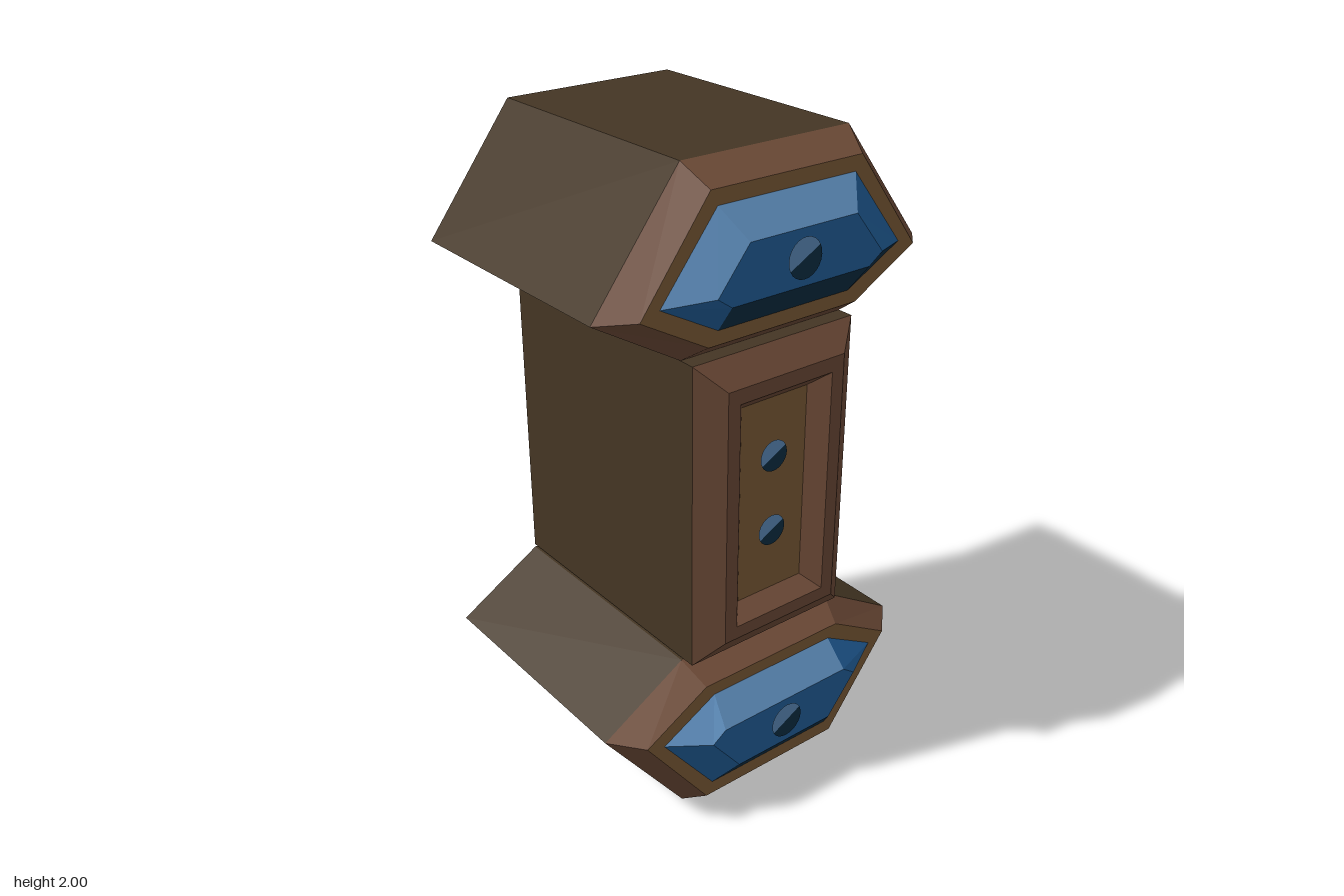
import * as THREE from 'three';

const mat = (name, color) => {
  const m = new THREE.MeshStandardMaterial({ color });
  m.name = name;
  return m;
};

export function createModel() {
  const darkWood = mat('dark wood', 0x453624);
  const trimWood = mat('trim wood', 0x724e3a);
  const gold = mat('gold', 0x83603a);
  const blue = mat('gem blue', 0x2364a2);
  const paleBlue = mat('gem pale blue', 0x6293c4);
  const deepBlue = mat('gem deep blue', 0x0c3047);

  const root = new THREE.Group();
  root.name = 'ornament';
  const BACK = -0.47;

  const add = (parent, name, geometry, material) => {
    const mesh = new THREE.Mesh(geometry, material);
    mesh.name = name;
    parent.add(mesh);
    return mesh;
  };

  // Outlines run counter-clockwise as seen from the front
  const hex = (wTop, top, wMid, mid, wBot, bot) => [
    [wTop, top], [-wTop, top], [-wMid, mid], [-wBot, bot], [wBot, bot], [wMid, mid],
  ];
  const rect = (w, top, bot) => [[w, top], [-w, top], [-w, bot], [w, bot]];
  const shapeOf = (pts) => new THREE.Shape(pts.map(([x, y]) => new THREE.Vector2(x, y)));

  // Flat face at depth z
  const plate = (pts, z, hole) => {
    const shape = shapeOf(pts);
    if (hole) shape.holes.push(shapeOf(hole));
    return new THREE.ShapeGeometry(shape).translate(0, 0, z);
  };

  // Sloping facets between an outer and an inner outline, one group per facet
  const bevel = (outer, zo, inner, zi) => {
    const pos = [];
    const geometry = new THREE.BufferGeometry();
    outer.forEach((a, i) => {
      const j = (i + 1) % outer.length;
      const A = [...a, zo], B = [...outer[j], zo], C = [...inner[j], zi], D = [...inner[i], zi];
      pos.push(...A, ...B, ...C, ...A, ...C, ...D);
      geometry.addGroup(i * 6, 6, i);
    });
    geometry.setAttribute('position', new THREE.Float32BufferAttribute(pos, 3));
    geometry.computeVertexNormals();
    return geometry;
  };

  const block = (pts, front) => new THREE.ExtrudeGeometry(shapeOf(pts), {
    depth: front - BACK, bevelEnabled: false,
  }).translate(0, 0, BACK);

  const repeat = (m, n) => Array(n).fill(m);

  // Two-tone round stud made of a pale and a deep half
  const stud = (parent, y, z, r) => {
    const group = new THREE.Group();
    group.name = 'stud';
    group.position.set(0, y, z + 0.004);
    add(group, 'studPaleHalf', new THREE.CircleGeometry(r, 12, 0.5, Math.PI), paleBlue);
    add(group, 'studDeepHalf', new THREE.CircleGeometry(r, 12, 0.5 + Math.PI, Math.PI), deepBlue);
    parent.add(group);
  };

  // Hexagonal head with a faceted gem; the foot is the same upside down
  const head = (name, flipped, facets) => {
    const group = new THREE.Group();
    group.name = name;
    const outline = (w1, y1, wm, ym, w2, y2) => (flipped
      ? hex(w2, 2 - y2, wm, 2 - ym, w1, 2 - y1)
      : hex(w1, y1, wm, ym, w2, y2));
    const outer = outline(0.28, 2, 0.555, 1.64, 0.28, 1.475);
    const rim = outline(0.252, 1.943, 0.468, 1.654, 0.255, 1.533);
    const gemBase = outline(0.23, 1.9, 0.408, 1.673, 0.225, 1.573);
    const gemTop = outline(0.18, 1.815, 0.28, 1.69, 0.235, 1.658);
    add(group, 'headBody', block(outer, 0.315), darkWood);
    add(group, 'headBevel', bevel(outer, 0.315, rim, 0.4), repeat(trimWood, 6));
    add(group, 'goldSetting', plate(rim, 0.4), gold);
    add(group, 'gemFacets', bevel(gemBase, 0.4, gemTop, 0.466), facets);
    add(group, 'gemTable', plate(gemTop, 0.466), blue);
    stud(group, flipped ? 0.265 : 1.735, 0.466, 0.057);
    root.add(group);
  };
  // Facets: top, upper right of model, lower right, bottom, lower left, upper left
  head('upperHead', false, [paleBlue, paleBlue, blue, deepBlue, deepBlue, blue]);
  head('lowerHead', true, [paleBlue, paleBlue, blue, deepBlue, deepBlue, blue]);

  // Middle column with a recessed gold panel
  const column = new THREE.Group();
  column.name = 'column';
  const outer = rect(0.28, 1.475, 0.535);
  const rim = rect(0.205, 1.4, 0.61);
  const opening = rect(0.163, 1.355, 0.65);
  const floor = rect(0.118, 1.312, 0.693);
  add(column, 'columnBody', block(outer, 0.365), darkWood);
  add(column, 'columnBevel', bevel(outer, 0.365, rim, 0.422), repeat(trimWood, 4));
  add(column, 'columnFrame', plate(rim, 0.422, opening), trimWood);
  add(column, 'recessWalls', bevel(opening, 0.422, floor, 0.371), repeat(trimWood, 4));
  add(column, 'recessPanel', plate(floor, 0.371), gold);
  for (const y of [1.13, 0.89]) stud(column, y, 0.371, 0.048);
  root.add(column);

  return root;
}
